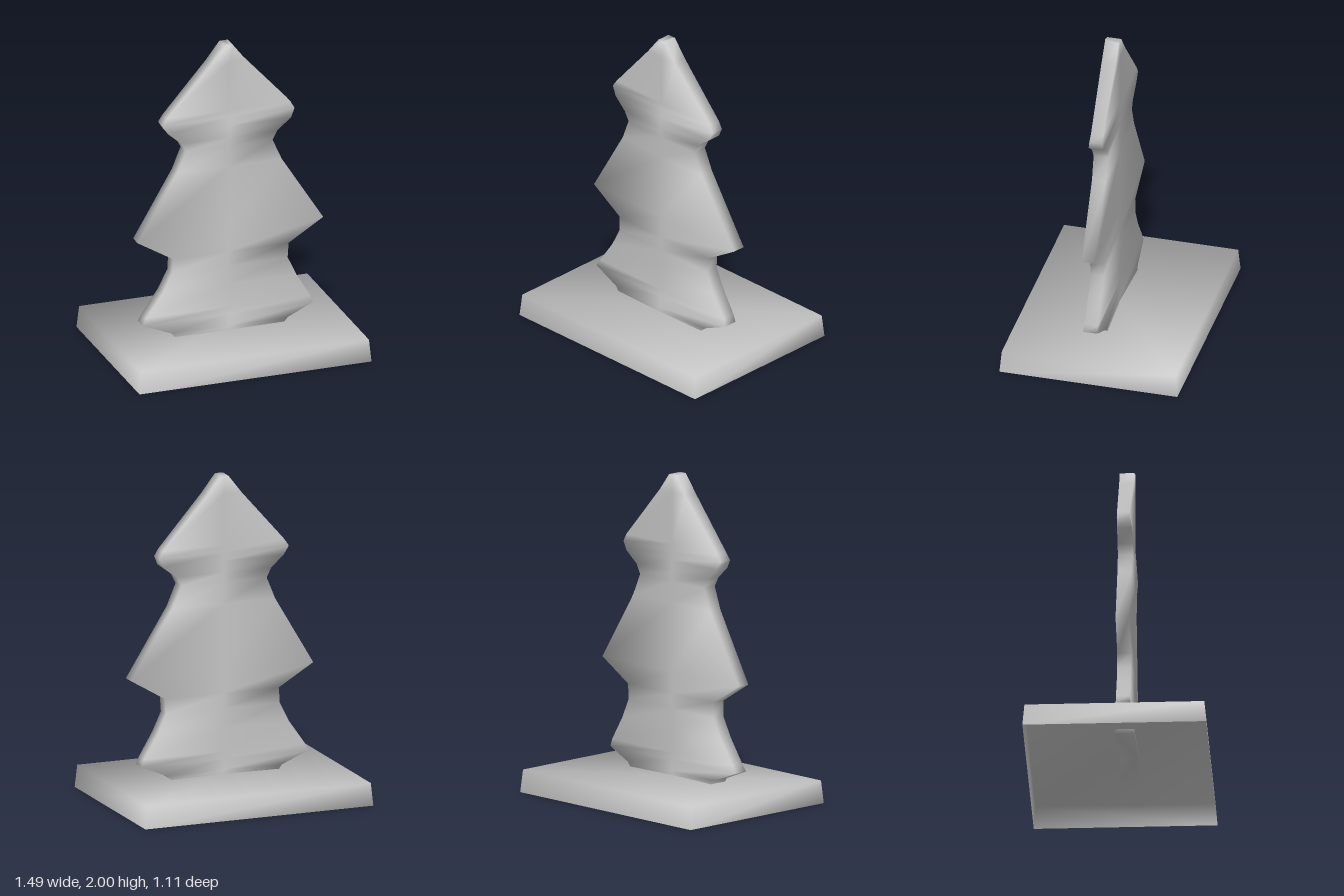
import * as THREE from 'three';

// Soft normals: every face counts equally at a shared corner, whatever its area
function softenNormals(geometry) {
  const pos = geometry.attributes.position;
  const index = geometry.index.array;
  const sums = Array.from({ length: pos.count }, () => new THREE.Vector3());
  const tri = new THREE.Triangle();
  const normal = new THREE.Vector3();
  for (let i = 0; i < index.length; i += 3) {
    tri.setFromAttributeAndIndices(pos, index[i], index[i + 1], index[i + 2]);
    tri.getNormal(normal);
    for (let c = 0; c < 3; c++) sums[index[i + c]].add(normal);
  }
  const normals = sums.flatMap((v) => v.normalize().toArray());
  geometry.setAttribute('normal', new THREE.Float32BufferAttribute(normals, 3));
}

// Skins a stack of equal-length rings (each counter-clockwise seen from above)
// with shared vertices; the top is capped, the bottom only when asked for.
function loft(rings, capBottom) {
  const n = rings[0].length;
  const index = [];
  for (let j = 0; j < rings.length - 1; j++) {
    const lo = j * n;
    const hi = lo + n;
    for (let i = 0; i < n; i++) {
      const k = (i + 1) % n;
      index.push(lo + i, lo + k, hi + k, lo + i, hi + k, hi + i);
    }
  }
  const top = (rings.length - 1) * n;
  for (let i = 1; i < n - 1; i++) {
    index.push(top, top + i, top + i + 1);
    if (capBottom) index.push(0, i + 1, i);
  }
  const geometry = new THREE.BufferGeometry();
  geometry.setAttribute('position', new THREE.Float32BufferAttribute(rings.flat(2), 3));
  geometry.setIndex(index);
  softenNormals(geometry);
  return geometry;
}

function rectRing(y, halfX, halfZ) {
  return [[-halfX, y, halfZ], [halfX, y, halfZ], [halfX, y, -halfZ], [-halfX, y, -halfZ]];
}

// Cross-section of the flat tree: a centre line and two edges, front and back
function treeRing([y, left, right, back, front]) {
  return [
    [0, y, front],
    [right, y, front - 0.006],
    [right, y, back],
    [0, y, 0],
    [left, y, back],
    [left, y, front - 0.006],
  ];
}

export function createModel() {
  const group = new THREE.Group();
  const add = (name, geometry, side) => {
    const material = new THREE.MeshStandardMaterial({ color: 0xcccccc, side });
    const mesh = new THREE.Mesh(geometry, material);
    mesh.name = name;
    group.add(mesh);
  };

  // Tapered base: a thin shell, open underneath
  add('base', loft([rectRing(0, 0.747, 0.557), rectRing(0.14, 0.735, 0.545)], false), THREE.DoubleSide);

  // Tree outline from its foot up: y, left edge, right edge, back z, front z.
  // The foot pokes a little way through the base's top.
  const rows = [
    [0.115, -0.345, 0.34, -0.015, 0.11],
    [0.14, -0.355, 0.35, -0.015, 0.11],
    [0.165, -0.375, 0.375, -0.012, 0.107],
    [0.235, -0.555, 0.54, 0, 0.095],
    [0.28, -0.53, 0.525, 0, 0.088],
    [0.43, -0.425, 0.435, 0, 0.09],
    [0.55, -0.365, 0.38, 0, 0.088],
    [0.645, -0.36, 0.385, 0, 0.092],
    [0.78, -0.585, 0.61, 0, 0.086],
    [1.205, -0.335, 0.34, 0, 0.091],
    [1.34, -0.28, 0.28, 0, 0.097],
    [1.4, -0.31, 0.31, 0, 0.1],
    [1.47, -0.39, 0.4, 0, 0.096],
    [1.525, -0.425, 0.425, 0, 0.086],
    [1.57, -0.395, 0.4, 0, 0.082],
    [1.89, -0.115, 0.11, 0, 0.094],
    [2, -0.03, 0.025, 0, 0.094],
  ];
  add('tree', loft(rows.map(treeRing), true), THREE.FrontSide);

  return group;
}
